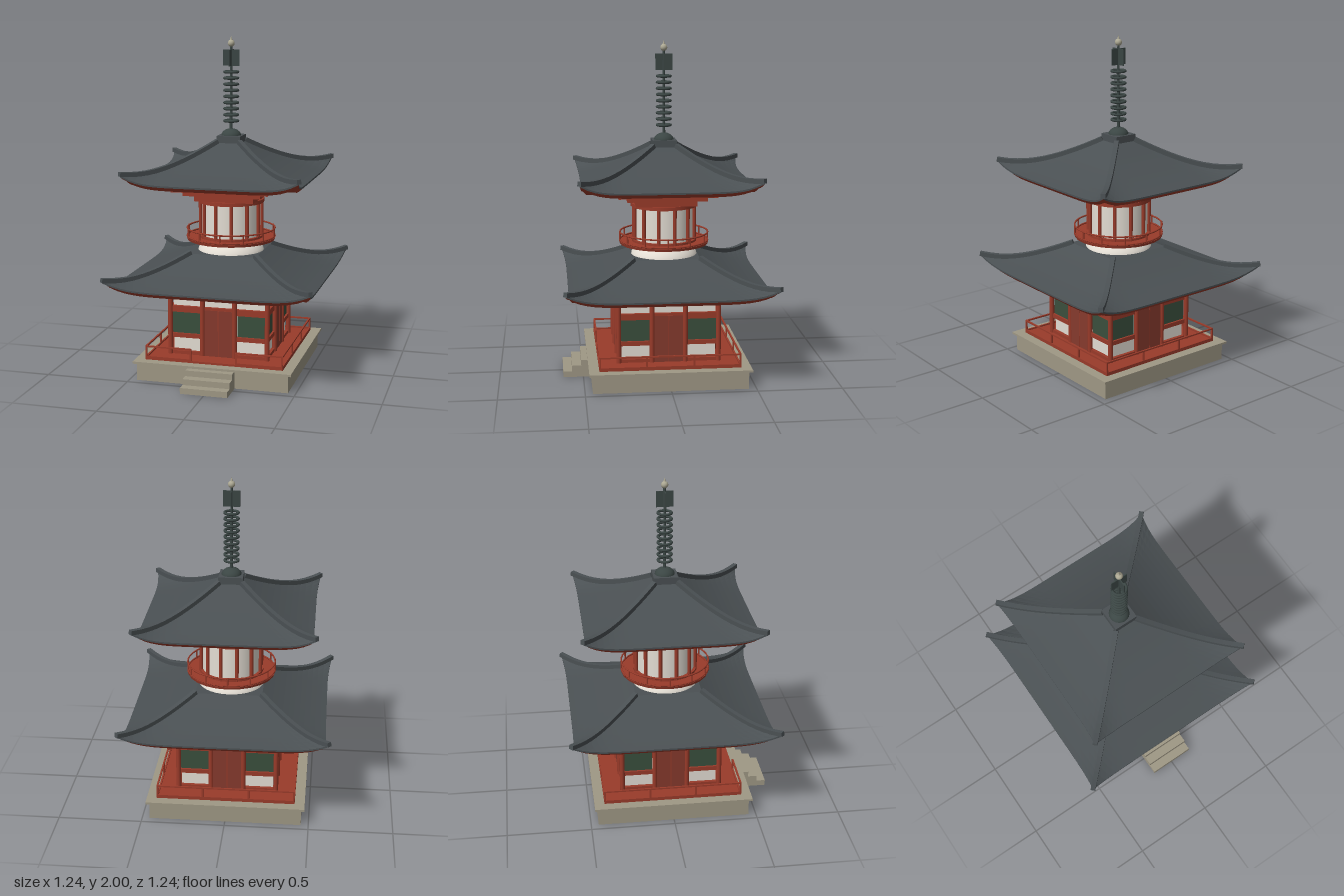
import * as THREE from 'three';
import { mergeGeometries } from 'three/addons/utils/BufferGeometryUtils.js';

const paint = (name, color) => {
  const m = new THREE.MeshStandardMaterial({ color });
  m.name = name;
  return m;
};

export function createModel() {
  const tile = paint('roof tile grey', 0x4a5053);
  const red = paint('vermilion wood', 0x9a3b2a);
  const doorRed = paint('door red', 0x863a2d);
  const white = paint('white plaster', 0xe4ded4);
  const green = paint('green lattice', 0x3a4f3d);
  const stone = paint('stone', 0x9f9885);
  const bronze = paint('dark bronze', 0x3b4644);
  const pale = paint('pale finial', 0xaca893);

  const model = new THREE.Group();
  model.name = 'pagoda';
  const add = (name, geo, mat, x = 0, y = 0, z = 0, parent = model) => {
    const m = new THREE.Mesh(geo, mat);
    m.name = name;
    m.position.set(x, y, z);
    parent.add(m);
    return m;
  };
  // Box given by half width, bottom, top and optional depth
  const slab = (name, mat, half, y0, y1) =>
    add(name, new THREE.BoxGeometry(half * 2, y1 - y0, half * 2), mat, 0, (y0 + y1) / 2);
  const bar = (name, mat, x0, x1, y0, y1, z, d, parent) =>
    add(name, new THREE.BoxGeometry(x1 - x0, y1 - y0, d), mat, (x0 + x1) / 2, (y0 + y1) / 2, z, parent);
  const cyl = (name, mat, r0, r1, y0, y1, n = 24) =>
    add(name, new THREE.CylinderGeometry(r1, r0, y1 - y0, n), mat, 0, (y0 + y1) / 2);

  // Stone base and front steps
  slab('stoneBase', stone, 0.455, 0, 0.105);
  slab('stoneLip', stone, 0.475, 0.105, 0.118);
  [[0.62, 0.035], [0.567, 0.07], [0.512, 0.104]].forEach(([z, y]) =>
    bar('step', stone, -0.14, 0.14, 0, y, (z + 0.45) / 2, z - 0.45));
  slab('deck', red, 0.415, 0.118, 0.13);

  // Lower storey: plaster core with the same framing on each side
  slab('plasterWall', white, 0.278, 0.13, 0.51);
  for (let k = 0; k < 4; k++) {
    const side = new THREE.Group();
    side.name = 'wallSide';
    side.rotation.y = k * Math.PI / 2;
    model.add(side);
    for (const [y0, y1] of [[0.13, 0.15], [0.232, 0.258], [0.388, 0.425], [0.475, 0.505]])
      bar('wallBeam', red, -0.295, 0.295, y0, y1, 0.283, 0.03, side);
    for (const x of [-0.295, -0.098, 0.098])
      add('column', new THREE.CylinderGeometry(0.015, 0.015, 0.375, 10), red, x, 0.3175, 0.295, side);
    for (const s of [-1, 1]) {
      bar('latticeWindow', green, s * 0.196 - 0.083, s * 0.196 + 0.083, 0.256, 0.39, 0.282, 0.008, side);
      bar('doorLeaf', doorRed, s * 0.046 - 0.044, s * 0.046 + 0.044, 0.13, 0.41, 0.294, 0.014, side);
    }
    bar('doorSeam', red, -0.002, 0.002, 0.13, 0.41, 0.298, 0.01, side);
    // Low railing, open at the front steps
    const spans = k === 0 ? [[-0.413, -0.138], [0.138, 0.413]] : [[-0.413, 0.413]];
    for (const [a, b] of spans) {
      bar('railTop', red, a, b, 0.193, 0.202, 0.41, 0.01, side);
      bar('railFoot', red, a, b, 0.13, 0.139, 0.41, 0.01, side);
    }
    for (const x of [-0.41, -0.138, 0.138])
      bar('railPost', red, x - 0.005, x + 0.005, 0.13, 0.2, 0.41, 0.01, side);
  }
  slab('lowerBracket', red, 0.34, 0.505, 0.53);
  slab('lowerBracketTop', red, 0.31, 0.53, 0.545);

  // Point on a square skirt; corners rise by lift and push out by flare
  const skirtPoint = ({ h, y, lift, flare }, u, k) => {
    const w = Math.abs(u) ** 7;
    const out = h * (1 + flare * w);
    const x = u * out, c = Math.cos(k * Math.PI / 2), s = Math.sin(k * Math.PI / 2);
    return new THREE.Vector3(x * c + out * s, y + lift * w, -x * s + out * c);
  };
  // Four-sided surface through square rows, listed from the top over the edge to below
  const skirt = (rows, n = 28) => {
    const pos = [];
    for (let k = 0; k < 4; k++)
      for (let i = 0; i < rows.length - 1; i++)
        for (let j = 0; j < n; j++) {
          const u0 = j / n * 2 - 1, u1 = (j + 1) / n * 2 - 1;
          const a = skirtPoint(rows[i], u0, k), b = skirtPoint(rows[i + 1], u0, k);
          const c = skirtPoint(rows[i + 1], u1, k), d = skirtPoint(rows[i], u1, k);
          for (const p of [a, b, c, a, c, d]) pos.push(p.x, p.y, p.z);
        }
    const g = new THREE.BufferGeometry();
    g.setAttribute('position', new THREE.Float32BufferAttribute(pos, 3));
    g.computeVertexNormals();
    return g;
  };

  // Curved hipped roof: tiles, red eaves and hip ridges
  const roof = (name, h0, h1, yEave, yTop, inner) => {
    const rows = [], n = 12;
    for (let i = 0; i <= n; i++) {
      const t = i / n, s = 1 - t;
      rows.push({
        h: h0 + (h1 - h0) * t,
        y: yEave + (yTop - yEave) * (0.55 * s + 0.45 * s * s),
        lift: 0.055 * t ** 4, flare: 0.035 * t ** 6,
      });
    }
    const edge = rows[n];
    const under = { ...edge, y: yEave - 0.01 };
    add(name + 'Tiles', skirt([...rows, under]), tile);
    add(name + 'Eaves', skirt([
      under,
      { ...edge, h: h1 - 0.008, y: yEave - 0.012 },
      { h: h1 - 0.025, y: yEave - 0.032, lift: 0.045, flare: 0.02 },
      { h: h1 - 0.08, y: yEave - 0.032, lift: 0.02, flare: 0 },
      { h: inner, y: yEave - 0.028, lift: 0, flare: 0 },
    ]), red);
    const parts = [], o = new THREE.Object3D();
    for (let k = 0; k < 4; k++)
      for (let i = 0; i < n; i++) {
        const a = skirtPoint(rows[i], 1, k), b = skirtPoint(rows[i + 1], 1, k);
        o.position.copy(a).add(b).multiplyScalar(0.5);
        o.lookAt(b);
        o.position.y += 0.007;
        o.updateMatrix();
        parts.push(new THREE.BoxGeometry(0.028, 0.026, a.distanceTo(b) + 0.008).applyMatrix4(o.matrix));
      }
    add(name + 'HipRidges', mergeGeometries(parts), tile);
  };
  roof('lowerRoof', 0.2, 0.585, 0.57, 0.722, 0.28);
  slab('lowerRoofCrown', tile, 0.2, 0.70, 0.722);

  // Plaster mound under the round storey
  const mound = [[0.2, 0.715], [0.195, 0.735], [0.175, 0.76], [0.15, 0.778], [0.125, 0.79]];
  add('plasterMound', new THREE.LatheGeometry(mound.map(p => new THREE.Vector2(...p)), 32), white);

  // Round balcony and railing
  cyl('balconyFloor', red, 0.265, 0.27, 0.786, 0.802, 24);
  for (const y of [0.808, 0.855])
    add('balconyRail', new THREE.TorusGeometry(0.265, 0.005, 6, 36), red, 0, y).rotation.x = Math.PI / 2;
  for (let i = 0; i < 12; i++) {
    const a = i * Math.PI / 6, b = a + Math.PI / 12;
    add('balconyPost', new THREE.CylinderGeometry(0.005, 0.005, 0.06, 6), red,
      0.265 * Math.cos(a), 0.83, 0.265 * Math.sin(a));
    add('roundColumn', new THREE.CylinderGeometry(0.011, 0.011, 0.225, 8), red,
      0.185 * Math.cos(b), 0.91, 0.185 * Math.sin(b));
  }
  cyl('plasterDrum', white, 0.176, 0.176, 0.8, 1.03, 24);
  cyl('drumFootRing', red, 0.194, 0.194, 0.8, 0.815, 24);
  cyl('drumTopRing', red, 0.2, 0.2, 1.015, 1.037, 24);

  // Stepped brackets under the upper roof
  [[0.18, 1.037, 1.076], [0.235, 1.076, 1.105], [0.29, 1.105, 1.146]].forEach(([h, y0, y1]) =>
    slab('upperBracket', red, h, y0, y1));
  roof('upperRoof', 0.07, 0.5, 1.175, 1.375, 0.25);

  // Spire: plinth, dome, pole, nine rings, crossed fins and jewel
  slab('spirePlinth', tile, 0.072, 1.37, 1.415);
  add('spireDome', new THREE.SphereGeometry(0.06, 20, 8, 0, Math.PI * 2, 0, Math.PI / 2), bronze, 0, 1.41)
    .scale.y = 0.75;
  cyl('spirePole', bronze, 0.009, 0.007, 1.44, 1.95, 10);
  for (let i = 0; i < 9; i++)
    add('spireRing', new THREE.TorusGeometry(0.04, 0.008, 8, 24), bronze, 0, 1.5 + i * 0.0362)
      .rotation.x = Math.PI / 2;
  bar('spireFin', bronze, -0.05, 0.05, 1.825, 1.92, 0, 0.006);
  bar('spireFin', bronze, -0.05, 0.05, 1.825, 1.92, 0, 0.006).rotation.y = Math.PI / 2;
  add('jewel', new THREE.SphereGeometry(0.021, 14, 10), pale, 0, 1.957);
  add('jewelTip', new THREE.ConeGeometry(0.01, 0.03, 10), pale, 0, 1.985);
  return model;
}
